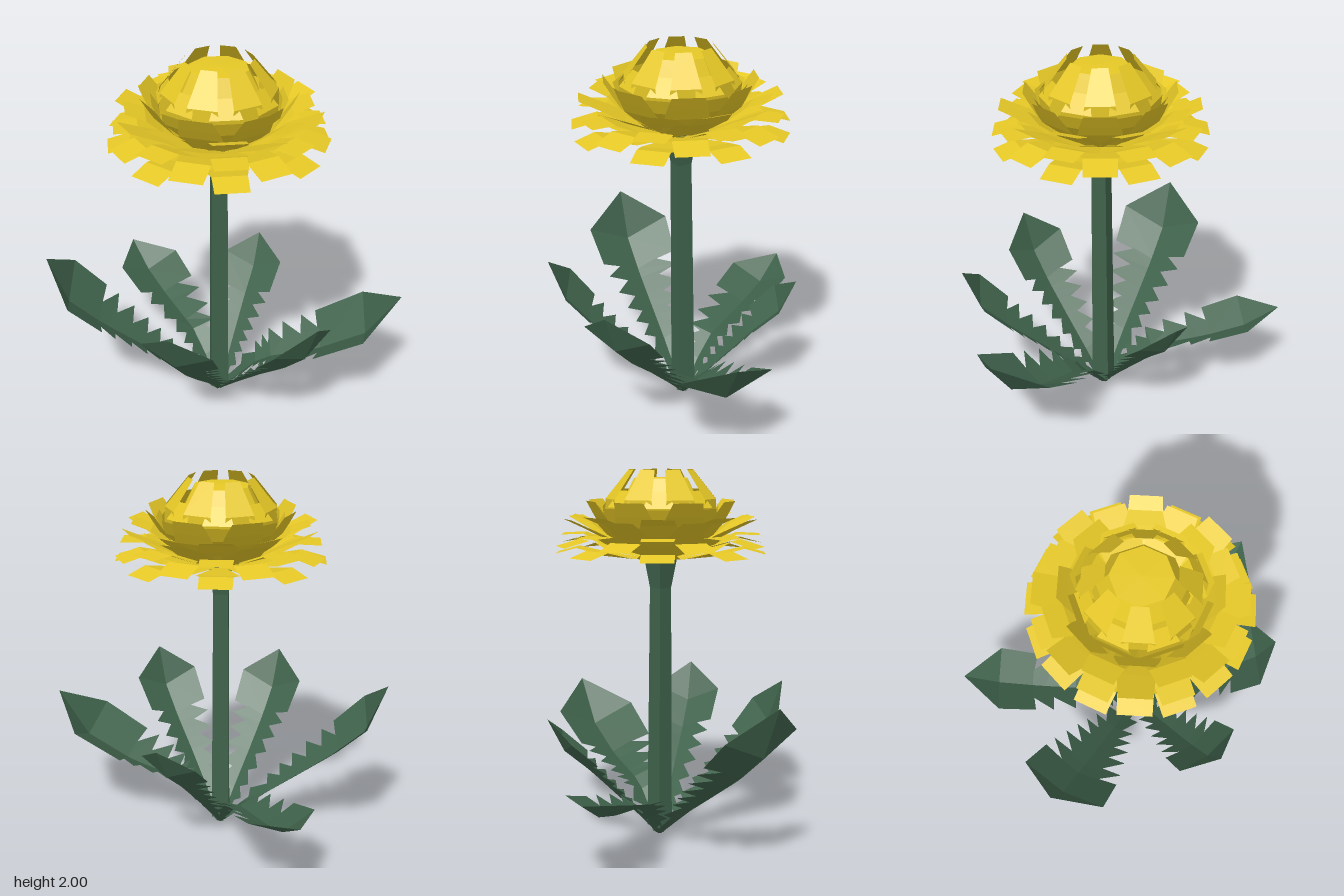
import * as THREE from 'three';

const CX = -0.02, CZ = 0.12; // axis of the plant

// Flat-faced surface between rows of points of equal length
function loft(rows) {
  const pos = [];
  for (let i = 0; i + 1 < rows.length; i++) {
    for (let j = 0; j + 1 < rows[i].length; j++) {
      const a = rows[i][j], b = rows[i][j + 1], c = rows[i + 1][j + 1], d = rows[i + 1][j];
      pos.push(...a, ...b, ...c, ...a, ...c, ...d);
    }
  }
  const g = new THREE.BufferGeometry();
  g.setAttribute('position', new THREE.Float32BufferAttribute(pos, 3));
  g.computeVertexNormals();
  return g;
}

// Petal: profile of [radius, height, half width], turned about the flower axis
function petalGeometry(profile) {
  return loft(profile.map(([r, y, w]) => [[r, y, w], [r, y, -w]]));
}

// Leaf outline: [position on rib, position of edge, width fraction]
// Teeth hook back towards the base and grow towards the end lobe
const outline = [[0, 0, 0.15], [0.6, 0.6, 0.2]];
for (let i = 0; i < 6; i++) {
  const u = 0.65 + i * 0.41;
  outline.push([u + 0.12, u - 0.02, 0.27 + 0.23 * u], [u + 0.38, u + 0.38, 0.16 + 0.11 * u]);
}
outline.push([3.12, 3, 0.93], [4, 4, 1], [5, 5, 0]);

// Folded leaf along a rib of [radius, height] points
function leafGeometry(tipX, tipZ, width, rib) {
  const dir = new THREE.Vector2(tipX - CX, tipZ - CZ).normalize();
  const at = (u) => {
    const i = Math.min(Math.floor(u), rib.length - 2), f = u - i;
    return [0, 1].map((k) => rib[i][k] + (rib[i + 1][k] - rib[i][k]) * f);
  };
  const point = (r, y, s) => [CX + dir.x * r - dir.y * s, y, CZ + dir.y * r + dir.x * s];
  return loft(outline.map(([u, ue, wf]) => {
    const [r, y] = at(u), [re, ye] = at(ue), w = wf * width;
    const er = re - w * 0.08, ey = ye + w * 0.44;
    return [point(er, ey, w), point(r, y, 0), point(er, ey, -w)];
  }));
}

export function createModel() {
  const model = new THREE.Group();
  const green = new THREE.MeshStandardMaterial({ color: 0x3f624b, side: THREE.DoubleSide });
  green.name = 'leaf green';
  const yellow = new THREE.MeshStandardMaterial({ color: 0xe6c826, side: THREE.DoubleSide });
  yellow.name = 'petal yellow';
  const add = (name, geometry, material, parent = model) => {
    const mesh = new THREE.Mesh(geometry, material);
    mesh.name = name;
    parent.add(mesh);
    return mesh;
  };

  // Square stem, flared under the flower
  const ring = (h, y) => [[1, 1], [1, -1], [-1, -1], [-1, 1], [1, 1]]
    .map(([x, z]) => [CX + x * h, y, CZ + z * h]);
  add('stem', loft([ring(0.048, 0.05), ring(0.04, 1.38), ring(0.062, 1.54)]), green);

  // Leaves
  const leaves = new THREE.Group();
  leaves.name = 'leaves';
  model.add(leaves);
  const base = [0.01, 0];
  [
    [-0.93, 0.05, 0.243, [base, [0.26, 0.2], [0.43, 0.32], [0.64, 0.47], [0.81, 0.62], [0.91, 0.89]]],
    [0.92, 0.34, 0.242, [base, [0.2, 0.2], [0.29, 0.25], [0.54, 0.32], [0.8, 0.45], [0.975, 0.7]]],
    [-0.45, -0.78, 0.185, [base, [0.14, 0.14], [0.28, 0.24], [0.6, 0.3], [0.81, 0.36], [1, 0.475]]],
    [0.28, -0.42, 0.17, [base, [0.14, 0.14], [0.25, 0.25], [0.39, 0.39], [0.53, 0.51], [0.62, 0.69]]],
    [-0.34, 0.76, 0.19, [base, [0.15, 0.14], [0.34, 0.31], [0.5, 0.46], [0.63, 0.61], [0.716, 0.83]]],
    [0.39, 0.765, 0.19, [base, [0.16, 0.14], [0.35, 0.31], [0.53, 0.46], [0.68, 0.61], [0.764, 0.83]]],
  ].forEach((l, i) => add('leaf' + (i + 1), leafGeometry(...l), green, leaves));

  // Flower head
  const flower = new THREE.Group();
  flower.name = 'flower';
  flower.position.set(CX, 0, CZ);
  model.add(flower);

  // Faceted core under the petals
  const core = [[0.03, 1.535], [0.17, 1.6], [0.23, 1.75], [0.21, 1.84], [0.15, 1.955], [0, 1.96]];
  add('core', loft(core.map(([r, y]) => Array.from({ length: 9 }, (_, k) => {
    const a = (k + 0.5) * Math.PI / 4;
    return [r * Math.cos(a), y, r * Math.sin(a)];
  }))), yellow, flower);

  // Rings of eight petals, from the lowest to the crown: [half step, profile]
  [
    [0, [[0.04, 1.53, 0.02], [0.3, 1.56, 0.11], [0.44, 1.595, 0.085], [0.55, 1.565, 0.083]]],
    [1, [[0.04, 1.535, 0.02], [0.3, 1.61, 0.11], [0.42, 1.645, 0.085], [0.55, 1.61, 0.083]]],
    [0, [[0.08, 1.55, 0.04], [0.29, 1.62, 0.11], [0.4, 1.67, 0.085], [0.52, 1.665, 0.08]]],
    [1, [[0.1, 1.56, 0.05], [0.28, 1.64, 0.11], [0.38, 1.69, 0.09], [0.51, 1.75, 0.08]]],
    [0, [[0.14, 1.58, 0.06], [0.28, 1.67, 0.11], [0.36, 1.73, 0.09], [0.46, 1.765, 0.08]]],
    [1, [[0.18, 1.6, 0.08], [0.3, 1.71, 0.11], [0.34, 1.77, 0.1], [0.385, 1.84, 0.08]]],
    [0, [[0.18, 1.62, 0.08], [0.29, 1.73, 0.11], [0.33, 1.805, 0.08]]],
    [0, [[0.29, 1.75, 0.09], [0.3, 1.81, 0.08], [0.24, 1.895, 0.045]]],
    [1, [[0.28, 1.76, 0.09], [0.28, 1.85, 0.075], [0.165, 2, 0.04]]],
  ].forEach(([half, profile], i) => {
    const geometry = petalGeometry(profile);
    const tier = new THREE.Group();
    tier.name = 'petalRing' + (i + 1);
    flower.add(tier);
    for (let k = 0; k < 8; k++) {
      add('petal', geometry, yellow, tier).rotation.y = (k + half / 2) * Math.PI / 4;
    }
  });
  return model;
}
